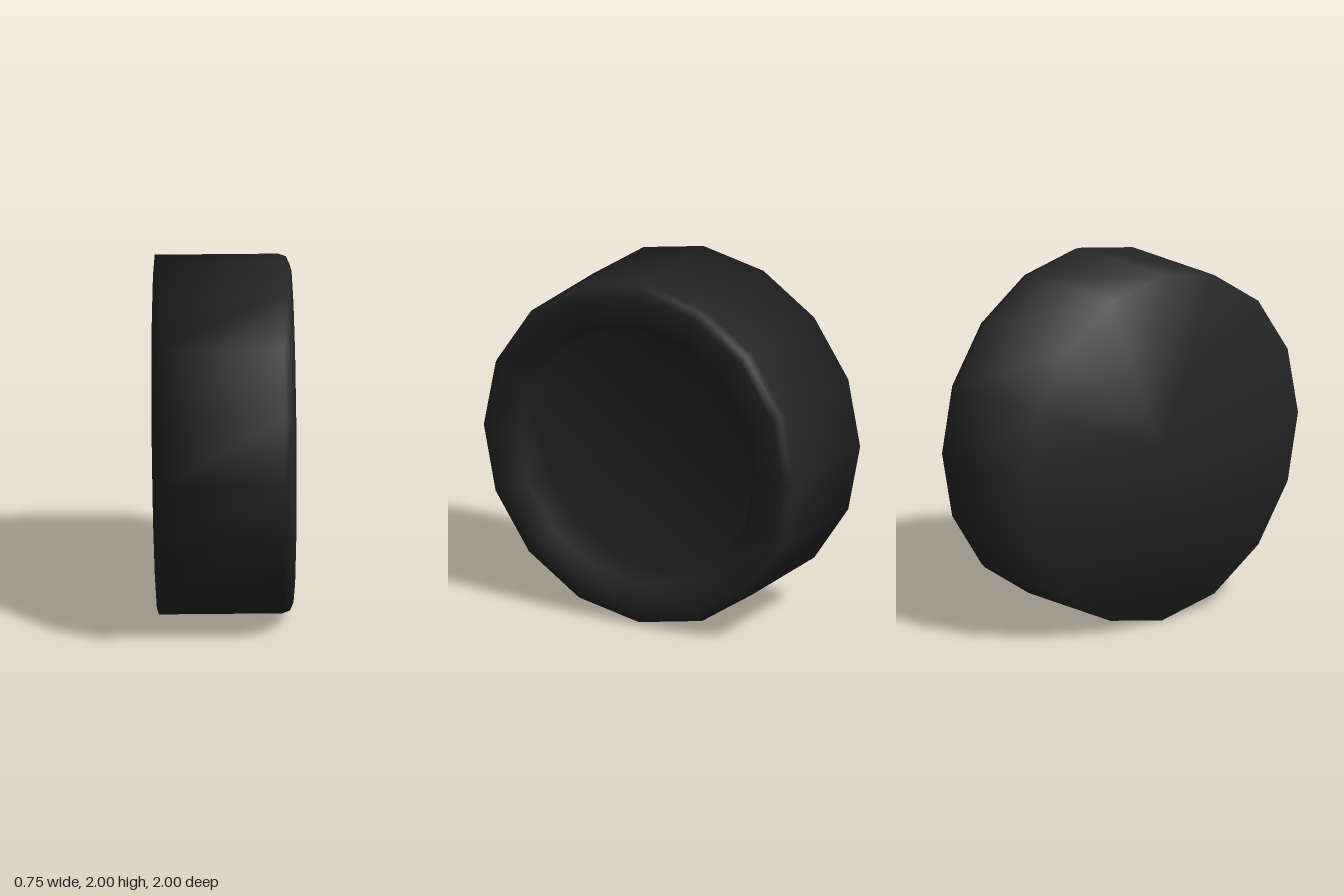
import * as THREE from 'three';

export function createModel() {
  const group = new THREE.Group();
  group.name = 'wheel';
  const rubber = new THREE.MeshStandardMaterial({ color: 0x252525 });
  rubber.name = 'black rubber';

  // Half profile as [radius, position along the axle], from inner side to outer side
  const profile = [
    [0, -0.373],    // closed inner side
    [1, -0.373],    // tread
    [1, 0.31],
    [0.985, 0.353], // rounded shoulder
    [0.94, 0.373],  // sidewall
    [0.75, 0.373],
    [0.705, 0.22],  // recessed hub
    [0, 0.22],
  ].map(([r, a]) => new THREE.Vector2(r, a));

  // Sixteen-sided body, turned so that the axle lies along x
  const geometry = new THREE.LatheGeometry(profile, 16);
  geometry.rotateZ(-Math.PI / 2);
  geometry.translate(0, 1, 0);

  const tyre = new THREE.Mesh(geometry, rubber);
  tyre.name = 'tyre';
  group.add(tyre);
  return group;
}
